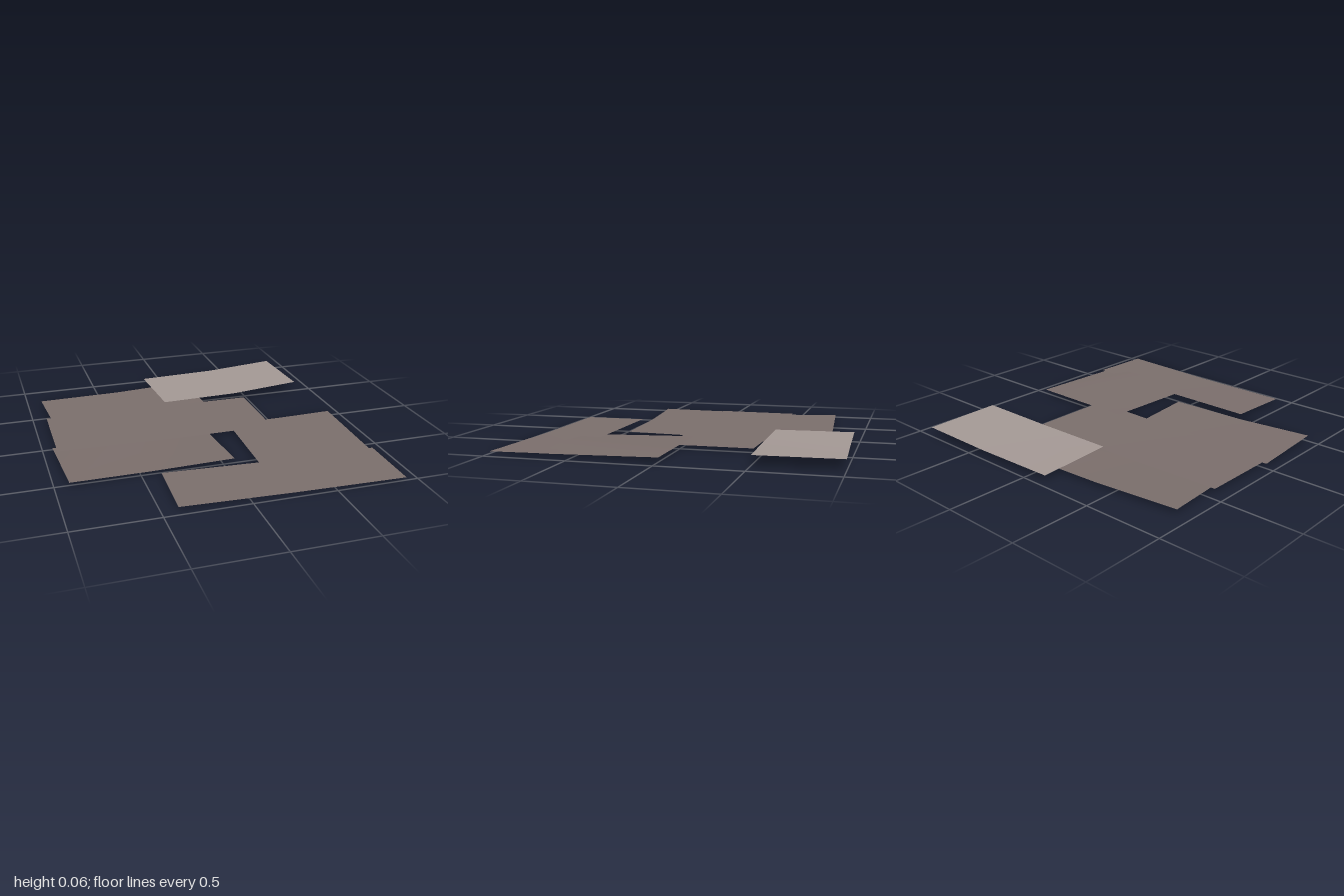
import * as THREE from 'three';

const darkBrown = new THREE.MeshStandardMaterial({ color: 0x7a6e6b, side: THREE.DoubleSide });
darkBrown.name = 'darkBrown';
const paleBrown = new THREE.MeshStandardMaterial({ color: 0xa39894, side: THREE.DoubleSide });
paleBrown.name = 'paleBrown';

// A thin bent sheet between a back edge and a front edge, each with three points from left to right
function sheet(name, material, back, front) {
  const geometry = new THREE.BufferGeometry();
  geometry.setAttribute('position', new THREE.Float32BufferAttribute([...back, ...front].flat(), 3));
  const index = [];
  for (let i = 0; i < 2; i++) index.push(i, i + 3, i + 1, i + 1, i + 3, i + 4);
  geometry.setIndex(index);
  geometry.computeVertexNormals();
  const mesh = new THREE.Mesh(geometry, material);
  mesh.name = name;
  return mesh;
}

export function createModel() {
  const group = new THREE.Group();
  group.name = 'scatteredSheets';
  group.add(
    // Raised pale sheet, curling up at its outer end
    sheet('paleSheet', paleBrown,
      [[-0.13, 0.041, -0.955], [0.39, 0.044, -0.975], [0.865, 0.066, -1.0]],
      [[-0.10, 0.041, -0.46], [0.41, 0.044, -0.472], [0.885, 0.066, -0.505]]),
    // Three overlapping sheets on one side
    sheet('backSheet', darkBrown,
      [[-0.91, 0.03, -0.755], [-0.37, 0.019, -0.797], [0.15, 0.025, -0.835]],
      [[-0.88, 0.024, -0.37], [-0.35, 0.012, -0.40], [0.18, 0.012, -0.42]]),
    sheet('middleSheet', darkBrown,
      [[-0.915, 0.028, -0.44], [-0.2, 0.017, -0.45], [0.47, 0.021, -0.434]],
      [[-0.92, 0.029, 0.09], [-0.2, 0.016, 0.087], [0.47, 0.02, 0.092]]),
    sheet('frontSheet', darkBrown,
      [[-0.94, 0.022, 0.02], [-0.45, 0.012, 0.0], [0.05, 0.003, -0.02]],
      [[-0.915, 0.03, 0.52], [-0.43, 0.016, 0.49], [0.08, 0.016, 0.47]]),
    // Square sheet bridging the middle and corner sheets
    sheet('bridgingSheet', darkBrown,
      [[0.205, 0.028, 0.0], [0.56, 0.028, -0.001], [0.915, 0.032, -0.005]],
      [[0.2, 0.01, 0.70], [0.55, 0.029, 0.705], [0.91, 0.017, 0.70]]),
    sheet('cornerSheet', darkBrown,
      [[-0.39, 0.025, 0.545], [0.27, 0.016, 0.568], [0.93, 0.024, 0.592]],
      [[-0.405, 0.022, 0.95], [0.26, 0.015, 0.97], [0.93, 0.018, 0.995]])
  );
  return group;
}
